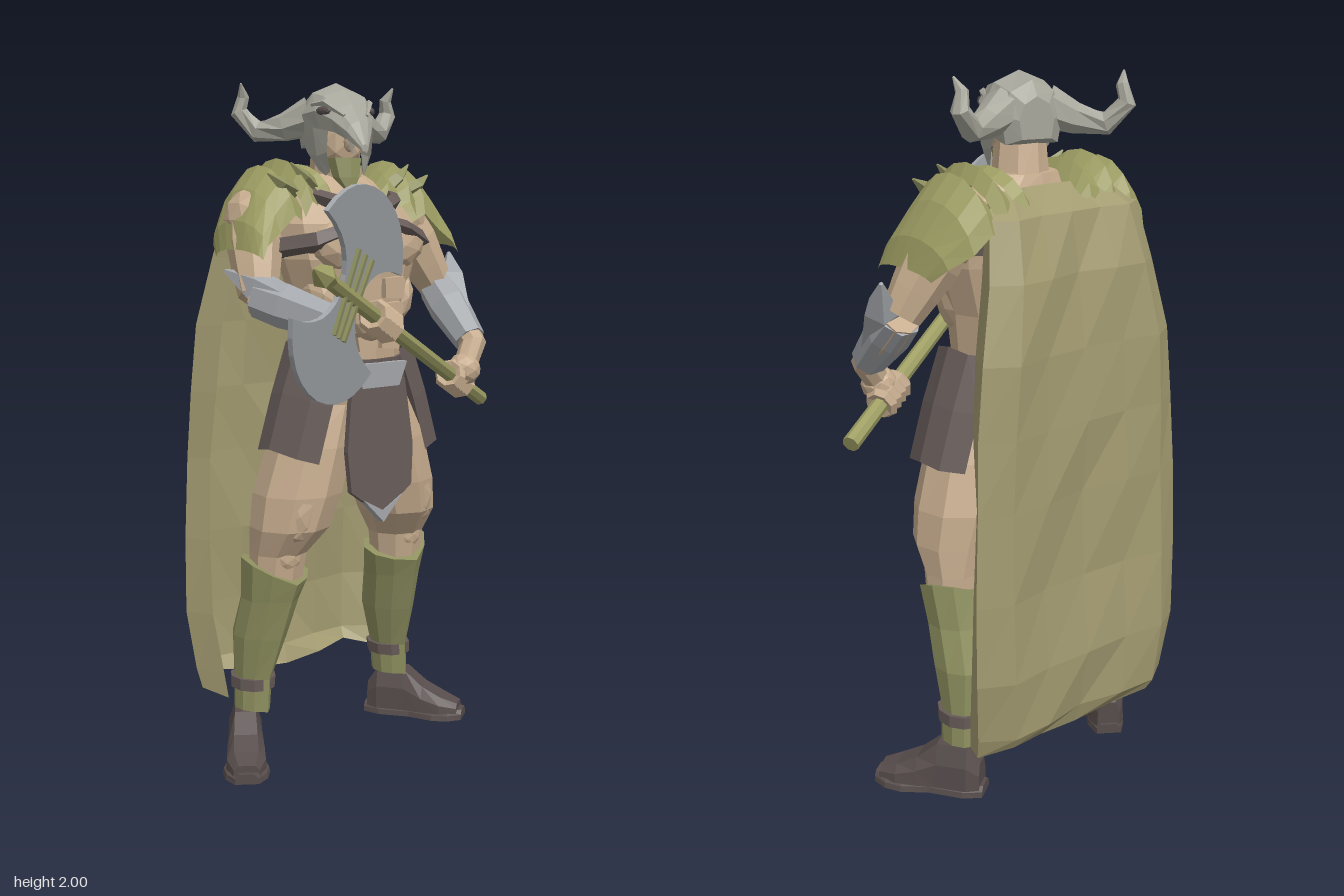
import * as THREE from 'three';

const V = (x, y, z) => new THREE.Vector3(x, y, z);
const SKIN = 0xc6ac8e, OLIVE = 0x9e9e64, GREAVE = 0x8f9160, CAPE = 0xa29a70,
  LEATHER = 0x665b58, BOOT = 0x574d4c, STEEL = 0xa2a5a9, BONE = 0xa6a69b;
const CX = 0.045; // body centre line

function mesh(parent, name, geo, color, double = false) {
  const m = new THREE.Mesh(geo, new THREE.MeshStandardMaterial({
    color, flatShading: true, side: double ? THREE.DoubleSide : THREE.FrontSide }));
  m.name = name;
  parent.add(m);
  return m;
}

// Skin a list of rings; closed rings are capped, open ones form a sheet
function skin(rings, closed = true) {
  const pos = [], n = rings[0].length, tri = (...p) => p.forEach(v => pos.push(v.x, v.y, v.z));
  for (let i = 0; i < rings.length - 1; i++)
    for (let j = 0; j < (closed ? n : n - 1); j++) {
      const k = (j + 1) % n, a = rings[i], b = rings[i + 1];
      tri(a[j], a[k], b[k]);
      tri(a[j], b[k], b[j]);
    }
  if (closed) [[rings[0], true], [rings[rings.length - 1], false]].forEach(([r, flip]) => {
    const c = r.reduce((s, p) => s.add(p), V(0, 0, 0)).divideScalar(n);
    r.forEach((p, j) => flip ? tri(c, r[(j + 1) % n], p) : tri(c, p, r[(j + 1) % n]));
  });
  const g = new THREE.BufferGeometry();
  g.setAttribute('position', new THREE.Float32BufferAttribute(pos, 3));
  g.computeVertexNormals();
  return g;
}

// Stack of horizontal ellipses, bottom to top: [y, cx, cz, rx, rz]
function tower(rows, n = 10, move = p => p) {
  return skin(rows.map(([y, cx, cz, rx, rz], i) => Array.from({ length: n }, (_, j) => {
    const t = j / n * Math.PI * 2;
    return move(V(cx + rx * Math.sin(t), y, cz + rz * Math.cos(t)), i, t);
  })));
}

// Tube through points with a radius at each
function limb(pts, radii, n = 8, ref = V(0, 0, 1)) {
  return skin(pts.map((p, i) => {
    const t = pts[Math.min(i + 1, pts.length - 1)].clone().sub(pts[Math.max(i - 1, 0)]).normalize();
    const a = ref.clone().addScaledVector(t, -ref.dot(t)).normalize(), b = t.clone().cross(a);
    return Array.from({ length: n }, (_, j) => p.clone()
      .addScaledVector(a, radii[i] * Math.cos(j / n * Math.PI * 2))
      .addScaledVector(b, radii[i] * Math.sin(j / n * Math.PI * 2)));
  }));
}

function blob(parent, name, color, p, s, rz = 0) {
  const m = mesh(parent, name, new THREE.IcosahedronGeometry(1, 1), color);
  m.position.set(...p); m.scale.set(...s); m.rotation.z = rz;
  return m;
}

function plate(parent, name, color, pts, depth, p) {
  const g = new THREE.ExtrudeGeometry(new THREE.Shape(pts.map(q => new THREE.Vector2(...q))), { depth, bevelEnabled: false });
  const m = mesh(parent, name, g, color);
  m.position.set(...p);
  return m;
}

function addTorso(b) {
  mesh(b, 'torso', tower([[1.0, 0, -.08, .14, .12], [1.12, 0, -.08, .18, .125], [1.24, 0, -.075, .165, .125],
    [1.36, 0, -.08, .18, .142], [1.5, 0, -.085, .23, .155], [1.6, 0, -.1, .24, .15],
    [1.68, 0, -.13, .2, .11], [1.74, 0, -.15, .1, .075]], 12), SKIN);
  mesh(b, 'neck', tower([[1.68, 0, -.14, .085, .08], [1.85, -.015, -.12, .065, .07]], 8), SKIN);
  for (const s of [-1, 1]) {
    blob(b, 'pectoral', SKIN, [s * .095, 1.535, .018], [.108, .075, .055], s * .15);
    // Flat-fronted stomach blocks
    for (let i = 0; i < 3; i++)
      plate(b, 'abdominal', SKIN, [[-.036, -.028], [.03, -.033], [.04, .02], [.03, .032], [-.038, .028]].map(
        ([x, y]) => s > 0 ? [x, y] : [-x, y]), .05, [s * .045, 1.27 + i * .073, .016 + i * .008]);
    blob(b, 'oblique', SKIN, [s * .14, 1.38, -.045], [.05, .09, .08], s * -.2);
    mesh(b, 'chestStrap', limb([V(s * .17, 1.69, -.1), V(s * .11, 1.66, -.005), V(0, 1.625, .04)], [.024, .024, .024], 4), LEATHER);
    mesh(b, 'chestBand', limb([V(s * .245, 1.53, -.1), V(s * .19, 1.55, .025), V(s * .1, 1.585, .06), V(0, 1.615, .045)],
      [.03, .03, .024, .018], 4), LEATHER);
  }
  const gem = mesh(b, 'chestDiamond', new THREE.BoxGeometry(.085, .085, .025), STEEL);
  gem.position.set(0, 1.635, .05); gem.rotation.set(-.45, 0, Math.PI / 4);
  mesh(b, 'backBand', tower([[1.54, 0, -.115, .238, .14], [1.59, 0, -.12, .25, .14]], 12), LEATHER);

  // Belt, buckle and hanging cloths
  mesh(b, 'belt', tower([[1.13, 0, -.08, .192, .135], [1.21, 0, -.08, .185, .135]], 12), LEATHER);
  plate(b, 'buckle', STEEL, [[-.07, 1.13], [.07, 1.13], [.1, 1.2], [-.1, 1.2]], .025, [0, 0, .048]);
  // Front cloth swings slightly forward at its hem
  const front = new THREE.Group();
  front.name = 'frontCloth';
  front.position.set(0, 1.15, .045);
  front.rotation.x = -.045;
  b.add(front);
  plate(front, 'loincloth', LEATHER, [[-.1, 0], [-.125, -.2], [-.115, -.32], [0, -.4], [.115, -.32], [.125, -.2], [.1, 0]], .018, [0, 0, 0]);
  plate(front, 'loinclothTrim', STEEL, [[-.075, -.345], [0, -.42], [.075, -.345], [0, -.385]], .024, [0, 0, -.002]);
  mesh(b, 'backCloth', skin([[1.18, .11, -.21], [1.05, .12, -.245], [.95, .12, -.275], [.9, .07, -.28]].map(
    ([y, w, z]) => [V(-w, y, z + .02), V(0, y, z - .01), V(w, y, z + .02)]), false), LEATHER, true);
  for (const s of [-1, 1])
    mesh(b, 'hipPanel', skin([[1.25, 0, 0], [1.1, .055, .005], [.94, .105, .005]].map(([y, o, z]) => [
      V(s * (.1 + o), y - .02, .035 + z), V(s * (.165 + o), y, .015 + z), V(s * (.197 + o), y + .02, -.07),
      V(s * (.185 + o), y + .01, -.14), V(s * (.13 + o), y, -.18 - z)]), false), LEATHER, true);
}

function addLeg(b, s) {
  mesh(b, 'thigh', tower([[.56, s * .235, -.13, .08, .078], [.64, s * .23, -.125, .086, .085], [.72, s * .207, -.098, .118, .12],
    [.82, s * .18, -.095, .133, .134], [.96, s * .14, -.085, .13, .125], [1.08, s * .1, -.08, .1, .11]], 9), SKIN);
  blob(b, 'thighMuscle', SKIN, [s * .215, .8, -.03], [.06, .13, .055], s * .25);
  blob(b, 'kneecap', SKIN, [s * .235, .635, -.07], [.045, .05, .03]);
  // Greave with a raised outer rim and a front ridge
  mesh(b, 'greave', tower([[.15, s * .275, -.205, .05, .064], [.25, s * .27, -.205, .055, .065], [.38, s * .255, -.19, .08, .09],
    [.5, s * .24, -.155, .09, .09], [.58, s * .235, -.135, .108, .09]], 10, (p, i, t) => {
    if (i === 4) p.y += .045 * Math.max(0, s * Math.sin(t)) - .025 * Math.cos(t);
    if (t === 0) p.z += .018;
    return p;
  }), GREAVE);
  mesh(b, 'ankleStrap', tower([[.215, s * .272, -.205, .064, .075], [.25, s * .27, -.205, .066, .076]], 10), LEATHER);

  // Boot turned outward
  const f = new THREE.Group();
  f.name = 'boot';
  f.position.set(s * .335, 0, -.155);
  f.rotation.y = s * .6;
  b.add(f);
  const foot = (rows, low) => skin(rows.map(([z, w, h]) => [V(w, low, z), V(w * .95, low + (h - low) * .55, z),
    V(w * .6, h, z), V(-w * .6, h, z), V(-w * .95, low + (h - low) * .55, z), V(-w, low, z)]));
  mesh(f, 'upper', foot([[-.145, .035, .1], [-.11, .052, .15], [-.02, .052, .15], [.04, .058, .1], [.1, .06, .07], [.155, .04, .05]], .02), BOOT);
  mesh(f, 'sole', foot([[-.155, .038, .03], [-.1, .056, .03], [0, .052, .03], [.08, .07, .03], [.13, .062, .03], [.17, .035, .03]], 0), BOOT);
}

function addPauldron(body, s) {
  const b = new THREE.Group();
  b.name = 'shoulderGuard';
  b.position.x = s > 0 ? 0 : .025;
  body.add(b);
  // Overlapping arched plates with flared inner rims: [x, y, z, radius, drop]
  const arch = ([x, y, z, r, drop]) => Array.from({ length: 9 }, (_, j) => {
    const t = (j / 4 - 1) * 1.45;
    return V(s * (x - .02 * (1 - Math.cos(t))), y - drop * (1 - Math.cos(t)), z + r * Math.sin(t));
  });
  [[[.09, 1.69, -.17, .12, .05], [.14, 1.77, -.175, .14, .1], [.175, 1.75, -.175, .14, .1]],
    [[.15, 1.72, -.175, .13, .1], [.215, 1.785, -.175, .15, .14], [.24, 1.74, -.175, .15, .14]],
    [[.21, 1.7, -.18, .14, .13], [.275, 1.765, -.18, .155, .16], [.33, 1.7, -.175, .152, .14], [.38, 1.61, -.15, .135, .08],
      [.4, 1.53, -.125, .115, .03]]]
    .forEach(rows => mesh(b, 'shoulderPlate', skin(rows.map(arch), false), OLIVE, true));
  for (let i = 0; i < 2; i++)
    mesh(b, 'shoulderSpike', limb([V(s * (.14 + i * .08), 1.69, -.08), V(s * (.19 + i * .08), 1.73 - i * .02, -.07),
      V(s * (.235 + i * .08), 1.77 - i * .03, -.08)], [.026, .02, .003], 4), GREAVE);
}

function addHead(b) {
  const h = new THREE.Group();
  h.name = 'head';
  h.position.set(-.02, 0, -.11);
  h.rotation.y = -.27;
  b.add(h);
  blob(h, 'face', SKIN, [0, 1.83, .01], [.072, .1, .085]);
  blob(h, 'nose', SKIN, [0, 1.83, .095], [.016, .03, .02]);
  mesh(h, 'beard', tower([[1.69, 0, .1, .01, .01], [1.73, 0, .075, .04, .035], [1.785, 0, .06, .052, .045]], 7), GREAVE);
  // Beaked helmet lofted from back to front: [z, half width, top, bottom]
  mesh(h, 'helmet', skin([[-.11, .05, 1.94, 1.83], [-.08, .09, 1.98, 1.815], [0, .105, 2, 1.835], [.06, .092, 1.978, 1.865],
    [.115, .064, 1.935, 1.855], [.165, .038, 1.885, 1.83], [.205, .01, 1.82, 1.8]].map(([z, w, t, m]) => {
    const y = k => m + (t - m) * k;
    return [V(w * .85, y(0), z), V(w, y(.45), z), V(w * .7, y(.82), z), V(0, t, z),
      V(-w * .7, y(.82), z), V(-w, y(.45), z), V(-w * .85, y(0), z)];
  })), BONE);
  for (const s of [-1, 1]) {
    mesh(h, 'horn', limb([V(s * .06, 1.905, -.04), V(s * .13, 1.875, -.08), V(s * .195, 1.865, -.13), V(s * .24, 1.92, -.16),
      V(s * .23, 1.965, -.15), V(s * .245, 2, -.13)], [.06, .042, .032, .026, .018, .003], 7), BONE);
    blob(h, 'eyeSocket', BOOT, [s * .074, 1.915, .08], [.012, .014, .028]).rotation.y = s * -.4;
    mesh(h, 'browRidge', limb([V(s * .088, 1.935, .03), V(s * .068, 1.938, .08), V(s * .035, 1.9, .14)], [.006, .012, .005], 5, V(0, 1, 0)), BONE);
    mesh(h, 'cheekGuard', skin([[V(s * .092, 1.85, -.045), V(s * .09, 1.87, .04), V(s * .07, 1.86, .105)],
      [V(s * .085, 1.8, -.01), V(s * .082, 1.79, .05), V(s * .07, 1.8, .095)],
      [V(s * .068, 1.75, .035), V(s * .06, 1.735, .065), V(s * .055, 1.745, .085)]], false), BONE, true);
    mesh(h, 'beakFang', limb([V(s * .025, 1.84, .16), V(s * .022, 1.795, .165)], [.012, .002], 4, V(1, 0, 0)), BONE);
  }
}

function addCape(b) {
  // Rows: [y, half width, front edge z, back z]
  const rows = [[1.66, .16, -.2, -.22], [1.715, .2, -.22, -.27], [1.655, .26, -.26, -.355], [1.5, .29, -.28, -.4], [1.3, .335, -.3, -.43],
    [1.1, .355, -.31, -.43], [.9, .365, -.335, -.43], [.65, .375, -.33, -.44], [.42, .375, -.32, -.45], [.24, .355, -.29, -.435], [.16, .345, -.28, -.415]];
  mesh(b, 'cape', skin(rows.map(([y, w, f, k], i) => [-.88, -1, -.75, -.4, 0, .4, .75, 1, .88].map((u, j) => {
    const e = Math.min(j, 8 - j);
    const z = [f, f * .4 + k * .6, k, k + .015, k + .025][e];
    const fold = e > 2 ? .012 * Math.sin(i * 2.1 + e * 1.7) : 0;
    return V(u * w - .005, y + (i === 10 ? [0, .02, .045, .03, .02][e] : 0), z + fold);
  })), false), CAPE, true);
}

function addArm(g, sh, el, wr, hand, spike) {
  const at = (a, b, t) => a.clone().lerp(b, t);
  blob(g, 'shoulder', SKIN, sh.toArray(), [.085, .095, .09]);
  mesh(g, 'upperArm', limb([sh, at(sh, el, .35), at(sh, el, .7), el], [.075, .08, .068, .055]), SKIN);
  mesh(g, 'forearm', limb([el, at(el, wr, .35), wr, hand], [.055, .06, .042, .035]), SKIN);
  mesh(g, 'vambrace', limb([at(el, wr, .02), at(el, wr, .35), at(el, wr, .92)], [.06, .065, .05], 7), STEEL);
  mesh(g, 'vambraceFlare', limb([spike, at(spike, at(el, wr, .5), .45), at(el, wr, .7)], [.006, .05, .045], 5), STEEL);
  blob(g, 'palm', SKIN, at(wr, hand, .8).toArray(), [.052, .05, .052]);
}

function addAxe(g) {
  const a = new THREE.Group(), x = V(.845, -.377, -.377).normalize();
  const y = V(0, 1, 0).addScaledVector(x, -x.y).normalize();
  a.name = 'axe';
  a.setRotationFromMatrix(new THREE.Matrix4().makeBasis(x, y, x.clone().cross(y)));
  a.rotateX(.15);
  a.position.set(-.31, 1.425, .355);
  g.add(a);
  mesh(a, 'shaft', limb([V(-.12, 0, 0), V(1.01, 0, 0)], [.022, .024], 8), OLIVE);
  mesh(a, 'spearTip', limb([V(-.205, 0, 0), V(-.15, 0, 0), V(-.11, 0, 0)], [.002, .034, .022], 6), OLIVE);
  for (const s of [-1, 1]) {
    const k = new THREE.Shape();
    k.moveTo(-.05, 0);
    k.quadraticCurveTo(-.06, .12, -.235, .14);
    k.quadraticCurveTo(-.17, .28, 0, .285);
    k.quadraticCurveTo(.17, .28, .235, .14);
    k.quadraticCurveTo(.06, .12, .05, 0);
    const m = mesh(a, 'blade', new THREE.ExtrudeGeometry(k, { depth: .014, bevelEnabled: false, curveSegments: 6 }), STEEL);
    m.position.z = s * -.007;
    m.rotation.x = s < 0 ? Math.PI : 0;
  }
  for (const i of [-1, 0, 1]) {
    const bar = mesh(a, 'bladeBinding', new THREE.BoxGeometry(.012, .23, .034), GREAVE);
    bar.position.x = i * .035; bar.rotation.z = i * -.06;
  }
  // Fingers curled round the shaft at each grip
  for (const grip of [.215, .785]) for (let i = 0; i < 4; i++) {
    const f = mesh(a, 'finger', new THREE.TorusGeometry(.034, .017, 5, 8), SKIN);
    f.rotation.y = Math.PI / 2;
    f.position.x = grip + (i - 1.5) * .028;
  }
}

export function createModel() {
  const g = new THREE.Group(), body = new THREE.Group();
  g.name = 'armouredWarrior';
  body.name = 'body';
  body.position.x = CX;
  g.add(body);
  addTorso(body);
  addHead(body);
  addCape(body);
  for (const s of [-1, 1]) { addLeg(body, s); addPauldron(body, s); }
  addArm(g, V(.32, 1.61, -.17), V(.44, 1.4, -.125), V(.425, 1.23, .06), V(.36, 1.14, .08), V(.518, 1.5, -.15));
  addArm(g, V(-.23, 1.61, -.17), V(-.29, 1.4, -.07), V(-.185, 1.33, .165), V(-.125, 1.34, .26), V(-.345, 1.47, -.15));
  addAxe(g);
  return g;
}
